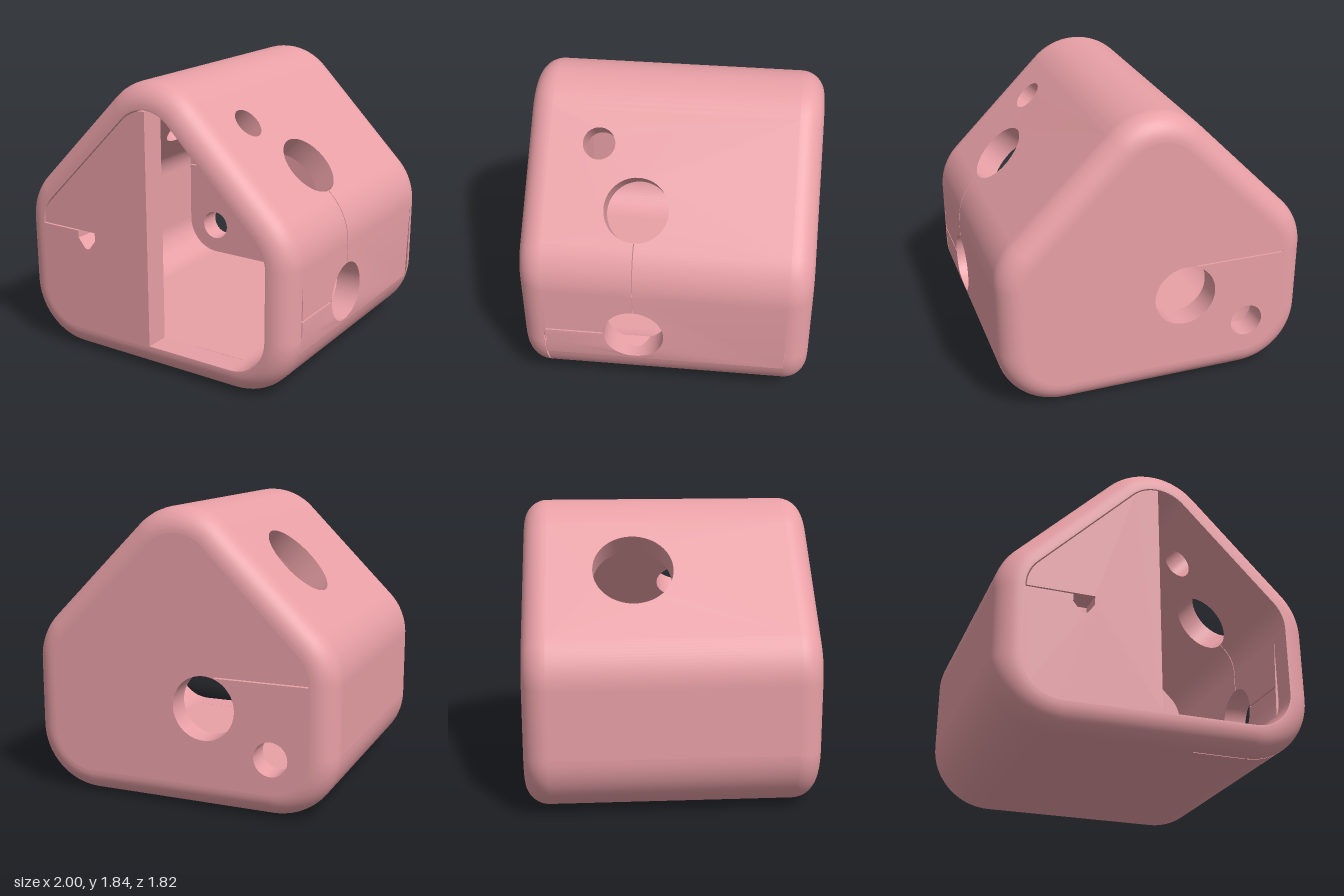
import * as THREE from 'three';
import { toCreasedNormals } from 'three/addons/utils/BufferGeometryUtils.js';

const OUT = 0.4, IN = 0.24, FILLET = 0.15, T = OUT - IN, ZF = 0.91, ZS = ZF - FILLET;
const SLIT = 0.008;
// Centres of the five rounded corners (counter-clockwise) and the arc each one sweeps, in degrees
const CORNERS = [
  { name: 'lowerRightCorner', x: -0.6, y: 0.4, a: 180, b: 270 },
  { name: 'lowerLeftCorner', x: 0.6, y: 0.4, a: 270, b: 360 },
  { name: 'leftEave', x: 0.6, y: 0.835, a: 0, b: 45 },
  { name: 'ridge', x: 0, y: 1.435, a: 45, b: 135 },
  { name: 'rightEave', x: -0.6, y: 0.835, a: 135, b: 180 },
];
const V = (x, y) => new THREE.Vector2(x, y);
const rad = THREE.MathUtils.degToRad;

function arc(c, r, a = c.a, b = c.b, n = 16) {
  const pts = [];
  for (let i = 0; i <= n; i++) {
    const t = rad(a + (b - a) * i / n);
    pts.push(V(c.x + r * Math.cos(t), c.y + r * Math.sin(t)));
  }
  return pts;
}
const outline = r => CORNERS.flatMap(c => arc(c, r));
const circle = (x, y, r) => new THREE.Path().absarc(x, y, r, 0, Math.PI * 2, true);
const rect = (x0, y0, x1, y1) => new THREE.Path([V(x0, y0), V(x1, y0), V(x1, y1), V(x0, y1)]);

function extrude(shape, depth) {
  return new THREE.ExtrudeGeometry(shape, { depth, bevelEnabled: false, curveSegments: 28 });
}

export function createModel() {
  const group = new THREE.Group();
  const material = new THREE.MeshStandardMaterial({ color: 0xe8a0a6, side: THREE.DoubleSide });
  const add = (name, geo, parent = group) => {
    const mesh = new THREE.Mesh(geo, material);
    mesh.name = name;
    parent.add(mesh);
    return mesh;
  };

  // Flat wall between corner i and the next: local x along the wall, local y = z, thickness outward
  function panel(name, i, holes, start = 0) {
    const p = CORNERS[i], q = CORNERS[(i + 1) % 5];
    const t = new THREE.Vector3(q.x - p.x, q.y - p.y, 0);
    const len = t.length();
    t.normalize();
    const n = new THREE.Vector3(t.y, -t.x, 0);
    const shape = new THREE.Shape([V(start, -ZS), V(len, -ZS), V(len, ZS), V(start, ZS)]);
    shape.holes.push(...holes);
    const geo = extrude(shape, T);
    // Any part reaching past the corner centre follows the corner's curve
    const pos = geo.attributes.position;
    for (let k = 0; k < pos.count; k++) {
      const x = pos.getX(k), r = IN + pos.getZ(k);
      if (x < 0) pos.setZ(k, pos.getZ(k) - r + Math.sqrt(r * r - x * x));
    }
    geo.applyMatrix4(new THREE.Matrix4()
      .makeBasis(t, new THREE.Vector3(0, 0, 1), n)
      .setPosition(p.x + n.x * IN, p.y + n.y * IN, 0));
    add(name, toCreasedNormals(geo, 0.5));
  }

  // Side hole with its slits to the front and up to the eave
  const frontSlit = new THREE.Path([
    V(0.106, 0.385), V(0.106, 0.748), V(0.01, 0.748), V(0.01, 0.757),
    V(0.28, 0.757), V(0.28, 0.748), V(0.116, 0.748), V(0.116, 0.385)]);
  panel('floor', 0, [rect(0.85, 0.748, 1.19, 0.757)]);
  panel('leftWall', 1, [circle(0.11, 0.19, 0.19), frontSlit, rect(0.303, 0.187, 0.43, 0.193)], -0.1);
  panel('leftRoof', 2, [circle(0.237, 0.19, 0.2), circle(0.633, 0.45, 0.1),
    rect(0.005, 0.187, 0.034, 0.193)]);
  panel('rightRoof', 3, [circle(0.356, -0.225, 0.25)]);
  panel('rightWall', 4, []);

  // Rounded corners; some are split or stopped short to leave saw slits
  const spans = [[[-ZS, ZS]], [[-ZS, 0.75]], [[-ZS, 0.187], [0.193, ZS]], [[-ZS, ZS]], [[-ZS, ZS]]];
  CORNERS.forEach((c, i) => {
    const end = i === 1 ? 360 - 14.4 : c.b;
    const shape = new THREE.Shape([...arc(c, OUT, c.a, end), ...arc(c, IN, c.a, end).reverse()]);
    for (const [z0, z1] of spans[i]) {
      add(c.name, toCreasedNormals(extrude(shape, z1 - z0).translate(0, 0, z0), 0.5));
    }
  });

  // Rounded rim: the outline shrinking along a quarter circle
  function rimGeometry(steps = 12) {
    const pos = [], index = [];
    let n = 0;
    for (let i = 0; i <= steps; i++) {
      const a = (i / steps) * Math.PI / 2;
      const ring = outline(OUT - FILLET + FILLET * Math.cos(a));
      n = ring.length;
      ring.forEach(p => pos.push(p.x, p.y, ZS + FILLET * Math.sin(a)));
      if (i === steps) break;
      for (let j = 0; j < n; j++) {
        const k = (j + 1) % n, o = i * n;
        index.push(o + j, o + k, o + n + k, o + j, o + n + k, o + n + j);
      }
    }
    const geo = new THREE.BufferGeometry();
    geo.setAttribute('position', new THREE.Float32BufferAttribute(pos, 3));
    geo.setIndex(index);
    geo.computeVertexNormals();
    return geo;
  }
  add('frontRim', rimGeometry());
  add('backRim', rimGeometry()).rotation.y = Math.PI;

  // Front plate: open left half, with a slit round the right half leading to a small notch hole
  const [, c1, c2, c3, c4] = CORNERS;
  const front = new THREE.Shape(outline(OUT - FILLET));
  front.holes.push(new THREE.Path([
    V(0, c1.y - IN), ...[c1, c2, c3, c4].flatMap(c => arc(c, IN)),
    V(-0.84, 0.835 - SLIT), V(-0.55, 0.835 - SLIT), V(-0.55, 0.78), V(-0.5, 0.72), V(-0.48, 0.712),
    V(-0.46, 0.72), V(-0.415, 0.78), V(-0.415, 0.835),
    ...arc(c4, IN - SLIT).reverse(), ...arc(c3, IN - SLIT, 90, 135).reverse(),
  ]));
  add('frontPlate', toCreasedNormals(extrude(front, T).translate(0, 0, ZF - T), 0.5));

  // Back plate with two round holes and a slit
  const back = new THREE.Shape(outline(OUT - FILLET));
  back.holes.push(circle(-0.18, 0.64, 0.2), circle(-0.61, 0.375, 0.107), rect(-0.84, 0.832, -0.25, 0.84));
  add('backPlate', toCreasedNormals(extrude(back, T).translate(0, 0, -ZF), 0.5));

  return group;
}
